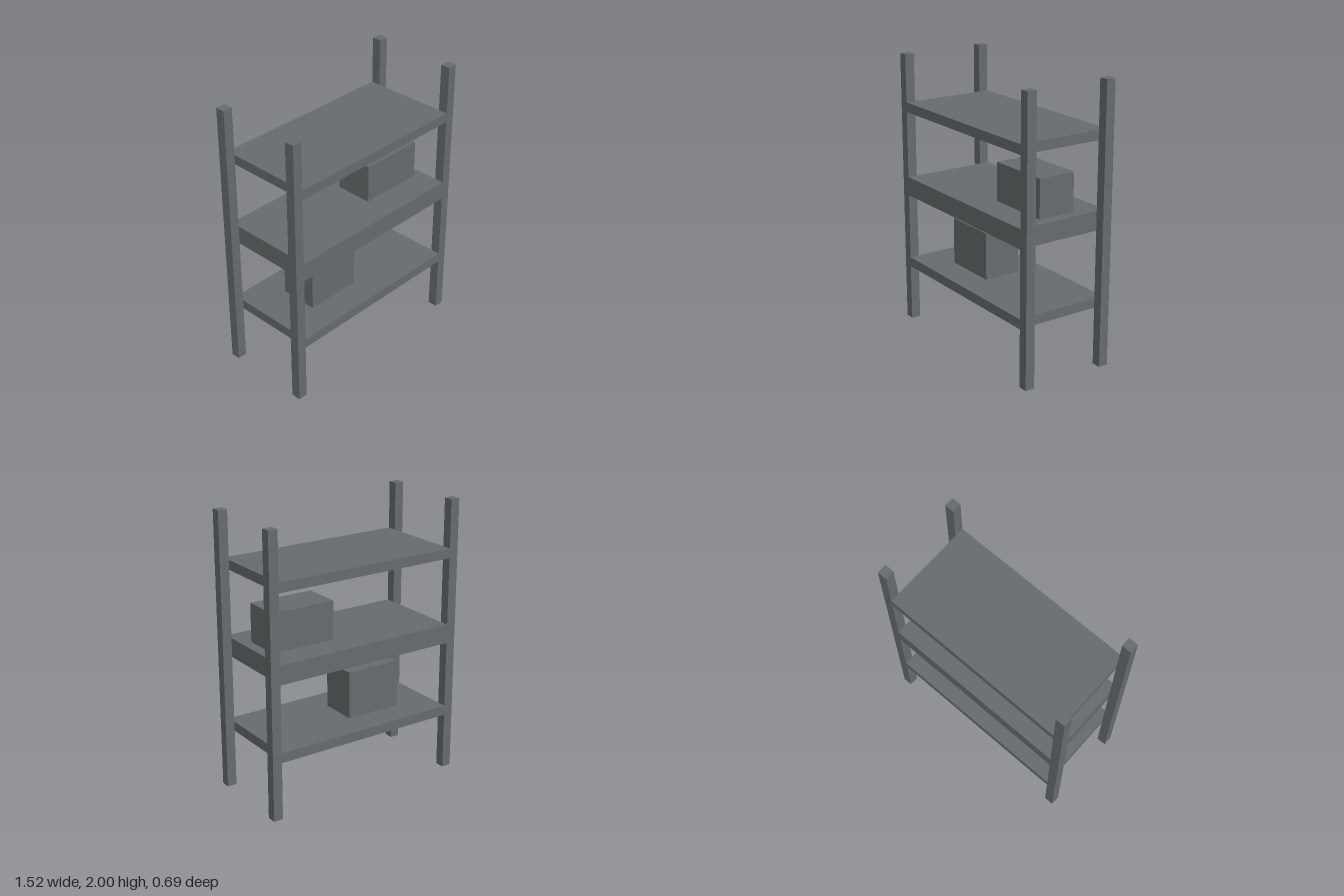
import * as THREE from 'three';

export function createModel() {
  const model = new THREE.Group();
  model.name = 'shelvingUnit';
  const steel = new THREE.MeshStandardMaterial({ color: 0x666b6d });
  steel.name = 'slate grey';

  // Box given by its extents along each axis
  const box = (name, [x0, x1], [y0, y1], [z0, z1]) => {
    const mesh = new THREE.Mesh(new THREE.BoxGeometry(x1 - x0, y1 - y0, z1 - z0), steel);
    mesh.position.set((x0 + x1) / 2, (y0 + y1) / 2, (z0 + z1) / 2);
    mesh.name = name;
    model.add(mesh);
  };

  const innerX = 0.69, outerX = 0.759, innerZ = 0.276, outerZ = 0.345;

  // Four corner posts
  for (const sx of [-1, 1]) {
    for (const sz of [-1, 1]) {
      const xs = [sx * innerX, sx * outerX].sort((a, b) => a - b);
      const zs = [sz * innerZ, sz * outerZ].sort((a, b) => a - b);
      box(`${sz > 0 ? 'front' : 'back'}${sx > 0 ? 'Left' : 'Right'}Post`, xs, [0, 2], zs);
    }
  }

  // Shelves between the posts, the middle one thicker
  const shelves = { lowerShelf: [0.416, 0.486], middleShelf: [0.968, 1.105], upperShelf: [1.588, 1.657] };
  for (const [name, ys] of Object.entries(shelves)) {
    box(name, [-innerX, innerX], ys, [-outerZ, outerZ]);
  }

  // Stored boxes
  box('lowerCrate', [-0.414, 0], [0.486, 0.83], [-0.138, 0.138]);
  box('middleCrate', [0.136, 0.616], [1.105, 1.381], [-0.138, 0.138]);

  return model;
}
